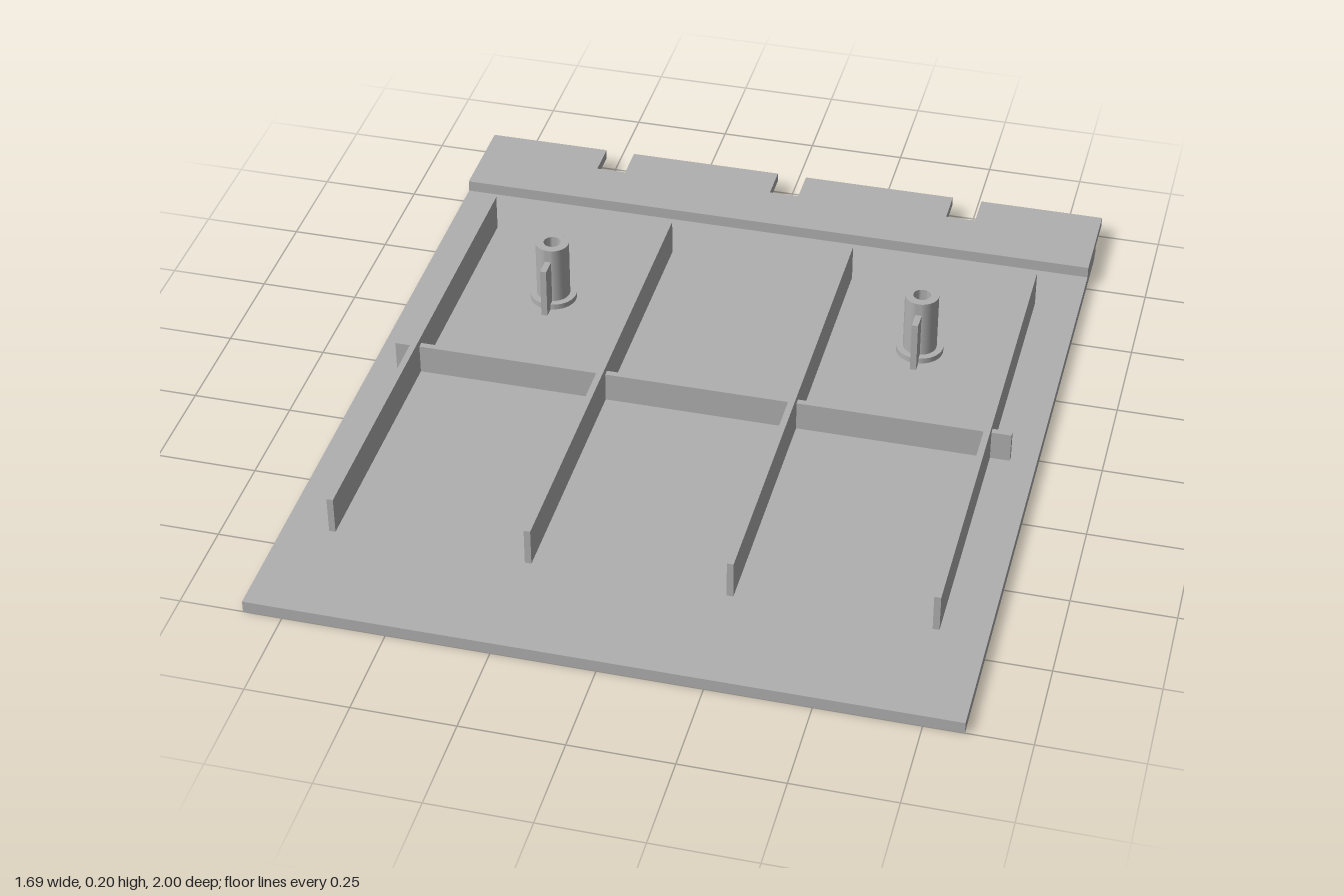
import * as THREE from 'three';
import { toCreasedNormals } from 'three/addons/utils/BufferGeometryUtils.js';

export function createModel() {
  const model = new THREE.Group();
  const grey = new THREE.MeshStandardMaterial({ color: 0xb0b0b0 });
  grey.name = 'plain grey';

  const HALF = 0.845;  // half width of the panel
  const TOP = 0.03;    // upper face of the panel
  const RIB = 0.016;   // rib thickness

  function add(name, geometry, parent = model) {
    const mesh = new THREE.Mesh(geometry, grey);
    mesh.name = name;
    parent.add(mesh);
    return mesh;
  }
  // Box given by its limits on each axis
  function box(name, x0, x1, y0, y1, z0, z1, parent) {
    const mesh = add(name, new THREE.BoxGeometry(x1 - x0, y1 - y0, z1 - z0), parent);
    mesh.position.set((x0 + x1) / 2, (y0 + y1) / 2, (z0 + z1) / 2);
  }
  const shapeOf = pts => new THREE.Shape(pts.map(p => new THREE.Vector2(...p)));

  // Panel: side profile (z, y) swept across the width, stepped at the back
  const panel = new THREE.ExtrudeGeometry(shapeOf([
    [1, 0], [1, TOP], [-0.76, TOP], [-0.76, 0.035], [-0.9, 0.035],
    [-0.9, 0.012], [-0.888, 0.012], [-0.888, 0],
  ].reverse()), { depth: 2 * HALF, bevelEnabled: false });
  panel.rotateY(-Math.PI / 2).translate(HALF, 0, 0);
  add('panel', panel);

  // Raised back lip with three notches, outline in (x, -z)
  const outline = [[-HALF, 0.76], [HALF, 0.76], [HALF, 1]];
  for (const x of [0.48, -0.0025, -0.485]) {
    outline.push([x + 0.039, 1], [x + 0.039, 0.905], [x - 0.039, 0.905], [x - 0.039, 1]);
  }
  outline.push([-HALF, 1]);
  const lip = new THREE.ExtrudeGeometry(shapeOf(outline), { depth: 0.025, bevelEnabled: false });
  lip.rotateX(-Math.PI / 2).translate(0, 0.035, 0);
  add('backLip', lip);

  // Four long ribs and one lower cross rib
  for (const x of [-0.727, -0.245, 0.24, 0.723]) {
    box('longRib', x - RIB / 2, x + RIB / 2, TOP, 0.126, -0.61, 0.708);
  }
  box('crossRib', -0.782, 0.78, TOP, 0.107, 0.038, 0.054);

  // Two hollow screw posts with a collar and fins front and back
  const postProfile = [
    [0.06, TOP], [0.06, 0.045], [0.043, 0.045], [0.043, 0.2], [0.022, 0.2], [0.022, TOP],
  ].map(p => new THREE.Vector2(...p));
  for (const x of [-0.485, 0.48]) {
    const post = new THREE.Group();
    post.name = 'screwPost';
    post.position.set(x, 0, -0.341);
    add('postTube', toCreasedNormals(new THREE.LatheGeometry(postProfile, 40), 0.6), post);
    for (const s of [-1, 1]) {
      const a = s * 0.038, b = s * 0.088;
      box('postFin', -RIB / 2, RIB / 2, TOP, 0.166, Math.min(a, b), Math.max(a, b), post);
    }
    model.add(post);
  }
  return model;
}
